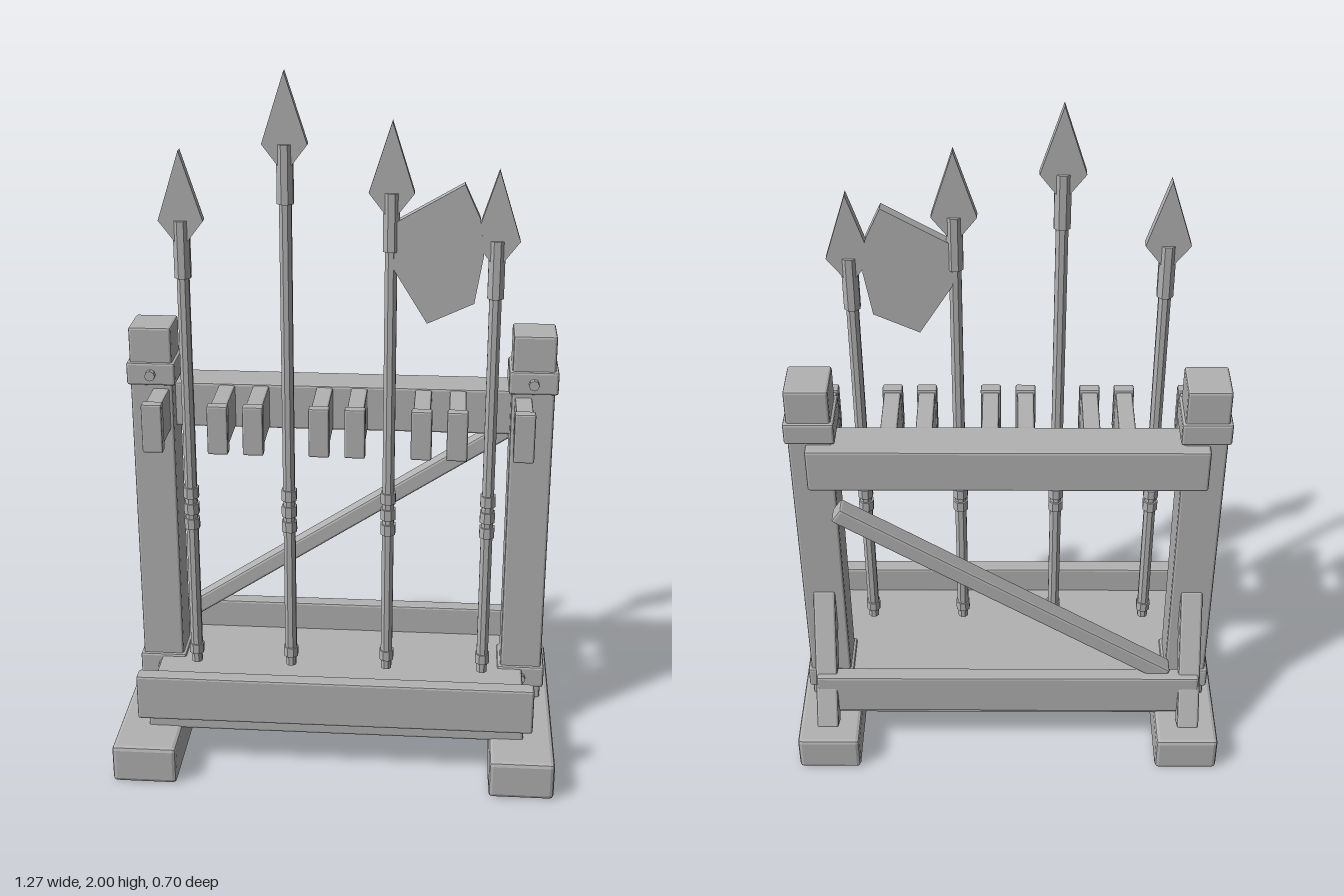
import * as THREE from 'three';
import { RoundedBoxGeometry } from 'three/addons/geometries/RoundedBoxGeometry.js';

const grey = new THREE.MeshStandardMaterial({ color: 0xb2b2b2, flatShading: true });
grey.name = 'plain grey';

function add(parent, name, geometry, x = 0, y = 0, z = 0) {
  const mesh = new THREE.Mesh(geometry, grey);
  mesh.name = name;
  mesh.position.set(x, y, z);
  parent.add(mesh);
  return mesh;
}

// Bevelled block given by its min and max on each axis
function block(parent, name, [x0, x1], [y0, y1], [z0, z1], bevel = 0.007) {
  const g = new RoundedBoxGeometry(x1 - x0, y1 - y0, z1 - z0, 1, bevel);
  return add(parent, name, g, (x0 + x1) / 2, (y0 + y1) / 2, (z0 + z1) / 2);
}

// Upright octagonal cylinder between two heights
function rod(parent, name, r, y0, y1, x, z) {
  const g = new THREE.CylinderGeometry(r, r, y1 - y0, 8);
  g.rotateY(Math.PI / 8);
  return add(parent, name, g, x, (y0 + y1) / 2, z);
}

// Flat plate cut from an outline, centred on its thickness
function plate(parent, name, points, depth, x, y, z) {
  const shape = new THREE.Shape(points.map(([a, b]) => new THREE.Vector2(a, b)));
  const g = new THREE.ExtrudeGeometry(shape, { depth, bevelEnabled: false });
  g.translate(0, 0, -depth / 2);
  return add(parent, name, g, x, y, z);
}

export function createModel() {
  const model = new THREE.Group();
  model.name = 'weaponRack';

  // Base tray
  block(model, 'platform', [-0.548, 0.548], [0.107, 0.213], [-0.222, 0.222]);
  block(model, 'frontBoard', [-0.572, 0.572], [0.16, 0.3], [0.218, 0.264]);
  block(model, 'backBoard', [-0.572, 0.572], [0.16, 0.3], [-0.266, -0.22]);

  // Mirrored feet, posts, bands, rivets and rear struts
  for (const s of [-1, 1]) {
    const side = new THREE.Group();
    side.name = s > 0 ? 'leftSide' : 'rightSide';
    model.add(side);
    const cx = s * 0.544;
    const span = (c, h) => [c - h, c + h];
    block(side, 'foot', span(s * 0.542, 0.093), [0, 0.115], [-0.35, 0.35], 0.012);
    block(side, 'post', span(cx, 0.061), [0.11, 1.265], [-0.146, -0.018]);
    for (const y of [0.187, 1.128]) {
      block(side, 'band', span(cx, 0.07), span(y, 0.034), [-0.154, -0.01]);
      const rivet = add(side, 'rivet', new THREE.CylinderGeometry(0.015, 0.015, 0.02, 8), cx, y, -0.003);
      rivet.rotation.x = Math.PI / 2;
    }
    const strut = add(side, 'strut', new RoundedBoxGeometry(0.065, 0.44, 0.056, 1, 0.007), cx, 0.33, -0.205);
    strut.rotation.x = Math.atan(0.415);
  }

  // Diagonal rear brace
  const brace = add(model, 'diagonalBrace', new RoundedBoxGeometry(1.14, 0.05, 0.055, 1, 0.007), 0.002, 0.6, -0.215);
  brace.rotation.z = Math.atan(0.66);

  // Upper rail with a pair of capped prongs for every spear
  block(model, 'upperRail', [-0.557, 0.557], [0.953, 1.088], [-0.181, -0.06]);
  const spears = [[-0.425, 1.6], [-0.142, 1.81], [0.142, 1.685], [0.425, 1.56]];
  for (const [x] of spears) {
    for (const s of [-1, 1]) {
      const px = x + s * 0.092;
      block(model, 'prong', [px - 0.024, px + 0.024], [0.957, 1.083], [-0.08, 0.12], 0.005);
      block(model, 'prongCap', [px - 0.029, px + 0.029], [0.948, 1.092], [0.108, 0.14], 0.005);
    }
  }

  // Spears
  const z = 0.067;
  for (const [x, top] of spears) {
    const spear = new THREE.Group();
    spear.name = 'spear';
    model.add(spear);
    rod(spear, 'shaft', 0.018, 0.28, top - 0.02, x, z);
    rod(spear, 'buttTip', 0.016, 0.25, 0.285, x, z);
    rod(spear, 'buttRing', 0.022, 0.28, 0.31, x, z);
    for (const y of [0.705, 0.752, 0.802]) rod(spear, 'gripRing', 0.023, y - 0.016, y + 0.016, x, z);
    rod(spear, 'socket', 0.024, top - 0.16, top, x, z);
    plate(spear, 'spearHead', [[0, 0.19], [-0.061, 0], [0, -0.08], [0.061, 0]], 0.028, x, top, z);
  }

  // Broad axe blade on the third shaft
  plate(model, 'axeBlade', [
    [0.142, 1.6], [0.335, 1.712], [0.378, 1.62], [0.39, 1.52],
    [0.368, 1.387], [0.242, 1.328], [0.142, 1.49],
  ], 0.032, 0, 0, z);

  return model;
}
